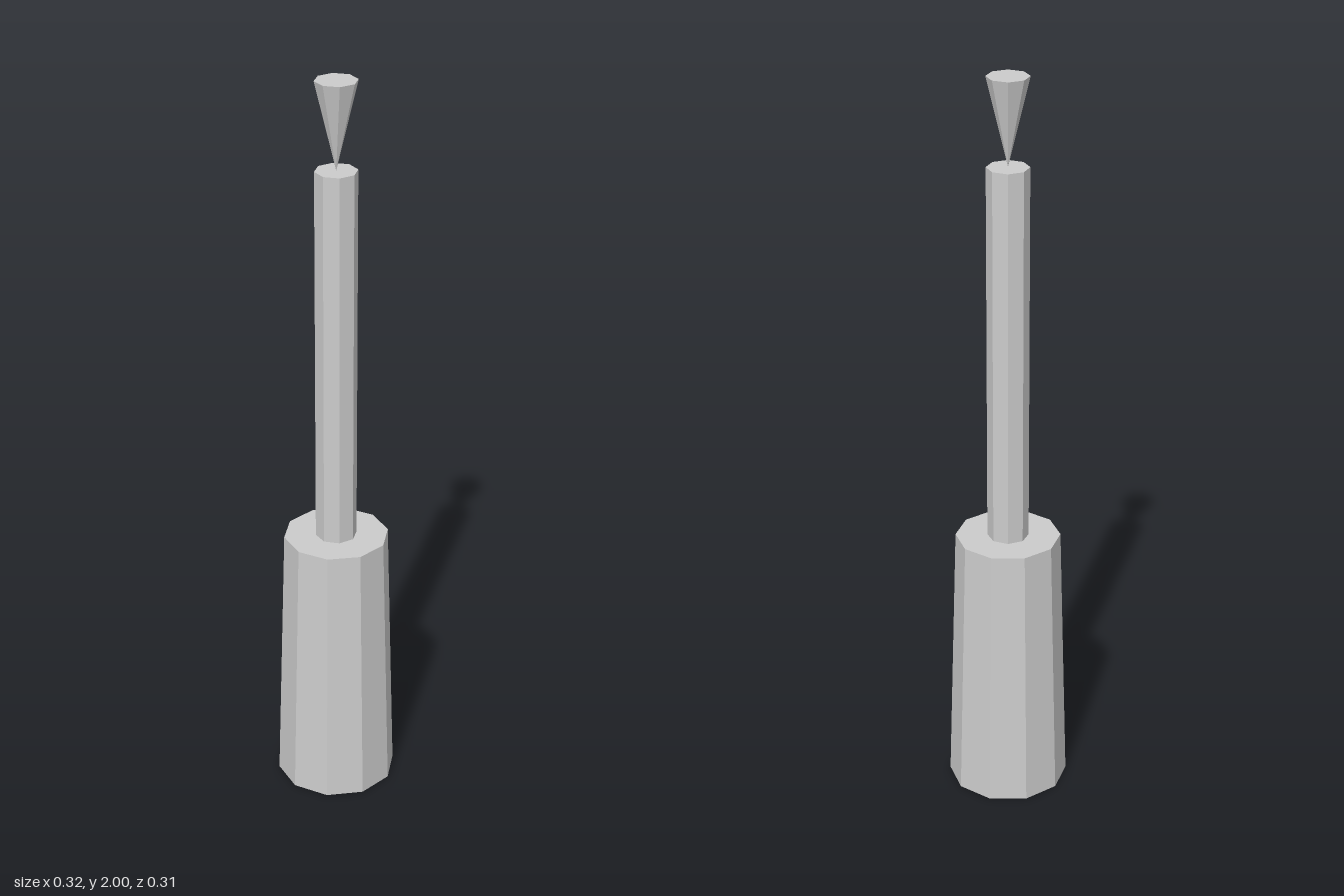
import * as THREE from 'three';

export function createModel() {
  const group = new THREE.Group();
  const material = new THREE.MeshStandardMaterial({ color: 0xcccccc, flatShading: true });

  // Upright faceted section between two heights, with corners on the x axis
  function addSection(name, rTop, rBottom, y0, y1, sides) {
    const geometry = new THREE.CylinderGeometry(rTop, rBottom, y1 - y0, sides);
    geometry.rotateY(Math.PI / 2);
    geometry.translate(0, (y0 + y1) / 2, 0);
    const mesh = new THREE.Mesh(geometry, material);
    mesh.name = name;
    group.add(mesh);
  }

  // Tapered ten-sided handle
  addSection('handle', 0.14, 0.162, 0, 0.745, 10);
  // Straight eight-sided shaft
  addSection('shaft', 0.055, 0.055, 0.745, 1.77, 8);
  // Inverted cone balanced on the shaft by its point
  addSection('tip', 0.055, 0, 1.77, 2, 8);

  return group;
}
